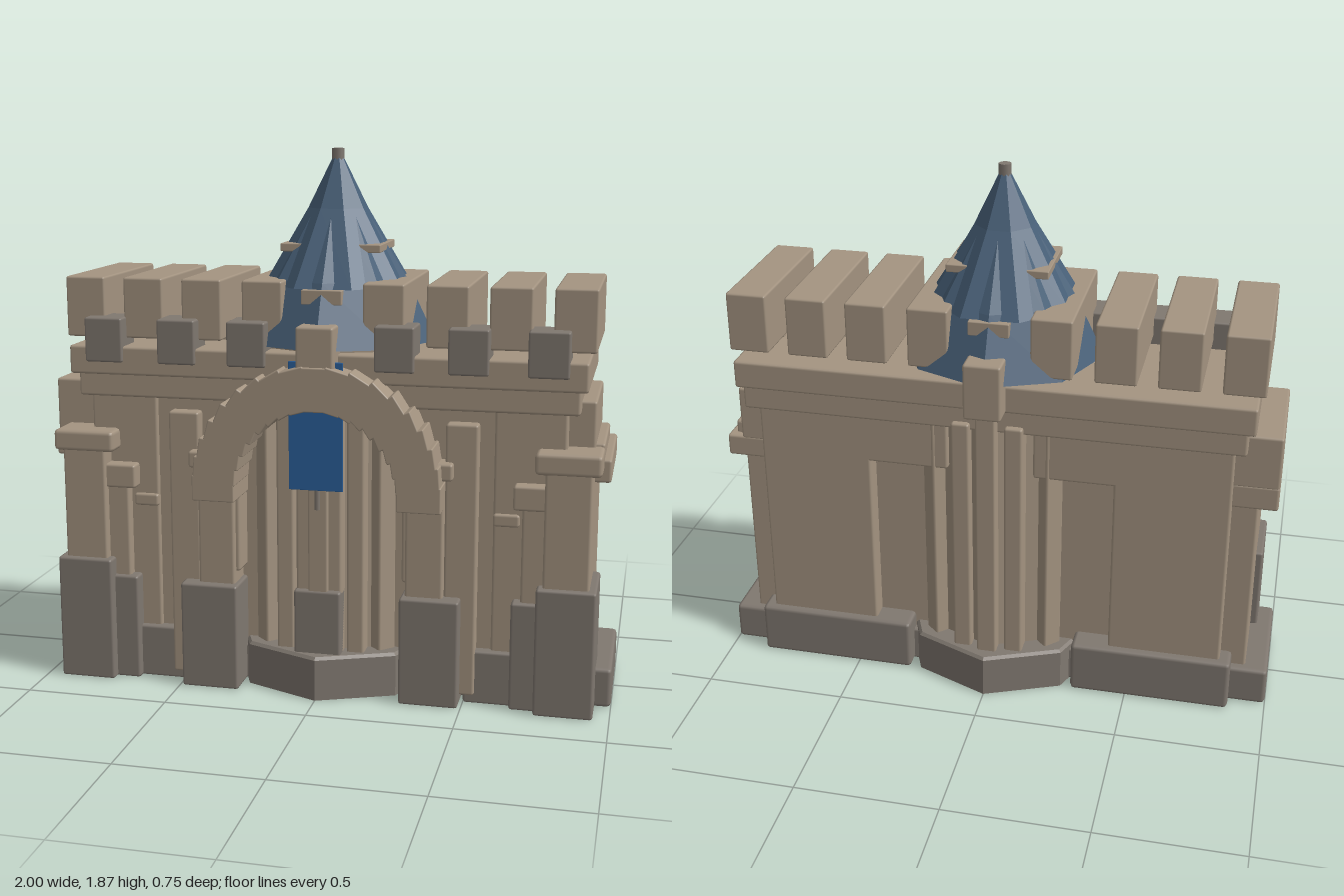
import * as THREE from 'three';
import { RoundedBoxGeometry } from 'three/addons/geometries/RoundedBoxGeometry.js';

const mat = (name, color) => Object.assign(new THREE.MeshStandardMaterial({ color }), { name });

export function createModel() {
  const stone = mat('tan stone', 0xa49481);
  const dark = mat('grey stone', 0x807870);
  const slate = mat('blue slate', 0x486078);
  const cloth = mat('blue cloth', 0x2b609b);
  slate.flatShading = true;

  const model = new THREE.Group();
  model.name = 'gatehouse';

  const add = (name, geometry, material, x = 0, y = 0, z = 0) => {
    const mesh = new THREE.Mesh(geometry, material);
    mesh.name = name;
    mesh.position.set(x, y, z);
    model.add(mesh);
    return mesh;
  };
  // Bevelled block given by its extents
  const block = (name, m, x0, x1, y0, y1, z0, z1, r = 0.01) => add(
    name, new RoundedBoxGeometry(x1 - x0, y1 - y0, z1 - z0, 1, r), m,
    (x0 + x1) / 2, (y0 + y1) / 2, (z0 + z1) / 2);
  // The same block on both sides
  const pair = (name, m, x0, x1, ...rest) => {
    block(name, m, x0, x1, ...rest);
    block(name, m, -x1, -x0, ...rest);
  };
  // Eight-sided solid from [radius, y] points, flat faced
  const octagon = (name, m, points, turn = 0) => {
    const lathe = new THREE.LatheGeometry(points.map(p => new THREE.Vector2(...p)), 8);
    const geometry = lathe.toNonIndexed();
    geometry.computeVertexNormals();
    geometry.rotateY(turn);
    return add(name, geometry, m);
  };

  // Main wall, rear panels around the recesses, cornice
  block('wallCore', stone, -0.82, 0.82, 0.02, 1.06, -0.18, 0.2);
  pair('rearPanel', stone, 0.43, 0.83, 0.1, 1.05, -0.245, -0.1);
  pair('rearLintel', stone, 0.15, 0.45, 0.84, 1.05, -0.245, -0.1);
  pair('frontPanel', stone, 0.59, 0.83, 0.1, 1.03, 0.1, 0.255);
  pair('gateWall', stone, 0.3, 0.6, 0.1, 1.03, 0.1, 0.24);
  block('gateLintel', stone, -0.31, 0.31, 0.98, 1.06, 0.1, 0.24);
  block('lowerCornice', stone, -0.87, 0.87, 1.02, 1.11, -0.28, 0.27);
  block('upperCornice', stone, -0.895, 0.895, 1.1, 1.2, -0.29, 0.29);

  // Foundation and low footings
  block('foundation', dark, -0.9, 0.9, 0, 0.13, -0.21, 0.22);
  pair('rearFooting', dark, 0.3, 0.87, 0, 0.19, -0.272, -0.1, 0.015);
  pair('frontFooting', dark, 0.5, 0.8, 0, 0.19, 0.1, 0.275);
  pair('sideFooting', dark, 0.75, 1.0, 0, 0.14, -0.215, 0.215, 0.015);

  // Side buttresses, with different heads on the two ends
  pair('sideButtress', stone, 0.75, 0.92, 0.1, 1.06, -0.185, 0.185);
  block('leftHead', stone, 0.75, 0.92, 0.86, 1.06, -0.21, 0.2);
  block('leftBand', stone, 0.75, 0.975, 0.79, 0.87, -0.21, 0.22);
  block('leftLedge', stone, 0.75, 0.95, 0.86, 0.915, -0.18, 0.18);
  block('rightHead', stone, -0.985, -0.75, 0.87, 1.065, -0.21, 0.2);
  block('rightBand', stone, -0.985, -0.75, 0.79, 0.88, -0.21, 0.22);

  // Front corner pilasters and their smaller neighbours
  pair('cornerPlinth', dark, 0.745, 0.945, 0, 0.445, 0.085, 0.34);
  pair('cornerPilaster', stone, 0.765, 0.92, 0.4, 0.85, 0.1, 0.32);
  pair('cornerCap', stone, 0.73, 0.95, 0.83, 0.905, 0.08, 0.33, 0.015);
  pair('innerPlinth', dark, 0.66, 0.76, 0, 0.38, 0.1, 0.305);
  pair('innerPilaster', stone, 0.69, 0.78, 0.35, 0.72, 0.1, 0.29);
  pair('innerCap', stone, 0.66, 0.78, 0.7, 0.785, 0.1, 0.305);
  pair('smallLedge', stone, 0.59, 0.68, 0.63, 0.675, 0.2, 0.265);

  // Gate piers
  pair('flatPilaster', stone, 0.43, 0.54, 0.03, 0.98, 0.15, 0.285);
  pair('pierPlinth', dark, 0.285, 0.49, 0, 0.38, 0.12, 0.34);
  pair('pier', stone, 0.3, 0.43, 0.35, 0.76, 0.12, 0.31);
  pair('pierInset', stone, 0.285, 0.32, 0.42, 0.72, 0.15, 0.29);
  pair('pierBracket', stone, 0.38, 0.46, 0.79, 0.85, 0.2, 0.32);

  // Arch of overlapping stones, each tipped so the edges step
  const stones = 19;
  for (let i = 0; i < stones; i++) {
    const a = Math.PI * i / (stones - 1);
    const piece = add('archStone', new RoundedBoxGeometry(0.15, 0.09, 0.2, 1, 0.005), stone,
      0.355 * Math.cos(a), 0.735 + 0.355 * Math.sin(a), 0.275);
    piece.rotation.z = a - 0.3 * Math.sin(2 * a);
  }

  // Eight-sided central tower with ribs on its corners and beside the shaft
  octagon('towerFooting', dark, [[0, 0], [0.372, 0], [0.372, 0.145], [0.362, 0.155], [0, 0.155]]);
  octagon('tower', stone, [[0, 0.1], [0.285, 0.1], [0.285, 1.22], [0, 1.22]]);
  for (let i = 0; i < 8; i++) {
    const a = i * Math.PI / 4, s = Math.sin(a), c = Math.cos(a);
    const rib = add('towerRib', new RoundedBoxGeometry(0.07, 1.0, 0.06, 1, 0.008), stone, 0.29 * s, 0.62, 0.29 * c);
    rib.rotation.y = a;
    if (i % 4 === 0) {
      const crown = add('towerMerlon', new RoundedBoxGeometry(0.13, 0.2, 0.14, 1, 0.01), stone, 0.295 * s, 1.2, 0.295 * c);
      crown.rotation.y = a;
    }
  }
  pair('frontRib', stone, 0.093, 0.155, 0.1, 1.05, 0.2, 0.285);
  pair('rearRib', stone, 0.06, 0.125, 0.1, 1.05, -0.3, -0.2);
  block('frontShaft', stone, -0.08, 0.08, 0.1, 1.1, 0.2, 0.305);
  block('frontShaftPlinth', dark, -0.085, 0.08, 0.1, 0.38, 0.15, 0.325);

  // Banner on its pole
  block('banner', cloth, -0.095, 0.092, 0.74, 1.18, 0.33, 0.339, 0.002);
  add('bannerPole', new THREE.CylinderGeometry(0.01, 0.01, 0.5, 8), dark, 0, 0.92, 0.322);

  // Battlements: deep stones across the wall, small ones on the front edge
  for (const x of [0.21, 0.425, 0.635, 0.845]) {
    pair('merlon', stone, x - 0.071, x + 0.071, 1.225, 1.435, -0.255, 0.25, 0.008);
    pair('merlonSupport', stone, x - 0.05, x + 0.05, 1.18, 1.24, -0.05, 0.05, 0.004);
  }
  for (const x of [0.255, 0.503, 0.765])
    pair('frontMerlon', dark, x - 0.068, x + 0.068, 1.145, 1.3, 0.17, 0.3, 0.008);

  // Two-tier roof: spiky skirt under a turned upper cone
  octagon('roofSkirt', slate, [[0, 1.22], [0.35, 1.215], [0.245, 1.43], [0.095, 1.67], [0, 1.67]]);
  octagon('roofCone', slate, [[0, 1.41], [0.26, 1.41], [0.105, 1.67], [0.015, 1.85], [0, 1.85]], Math.PI / 8);
  add('finial', new THREE.CylinderGeometry(0.022, 0.022, 0.045, 8), dark, 0, 1.85, 0);

  // Stone corners showing through the roof
  for (const z of [-1, 1])
    block('roofStone', stone, -0.07, 0.07, 1.36, 1.41, Math.min(0, z * 0.262), Math.max(0, z * 0.262), 0.004);
  pair('roofSideStone', stone, 0.05, 0.175, 1.525, 1.553, -0.13, 0.13, 0.004);

  return model;
}
